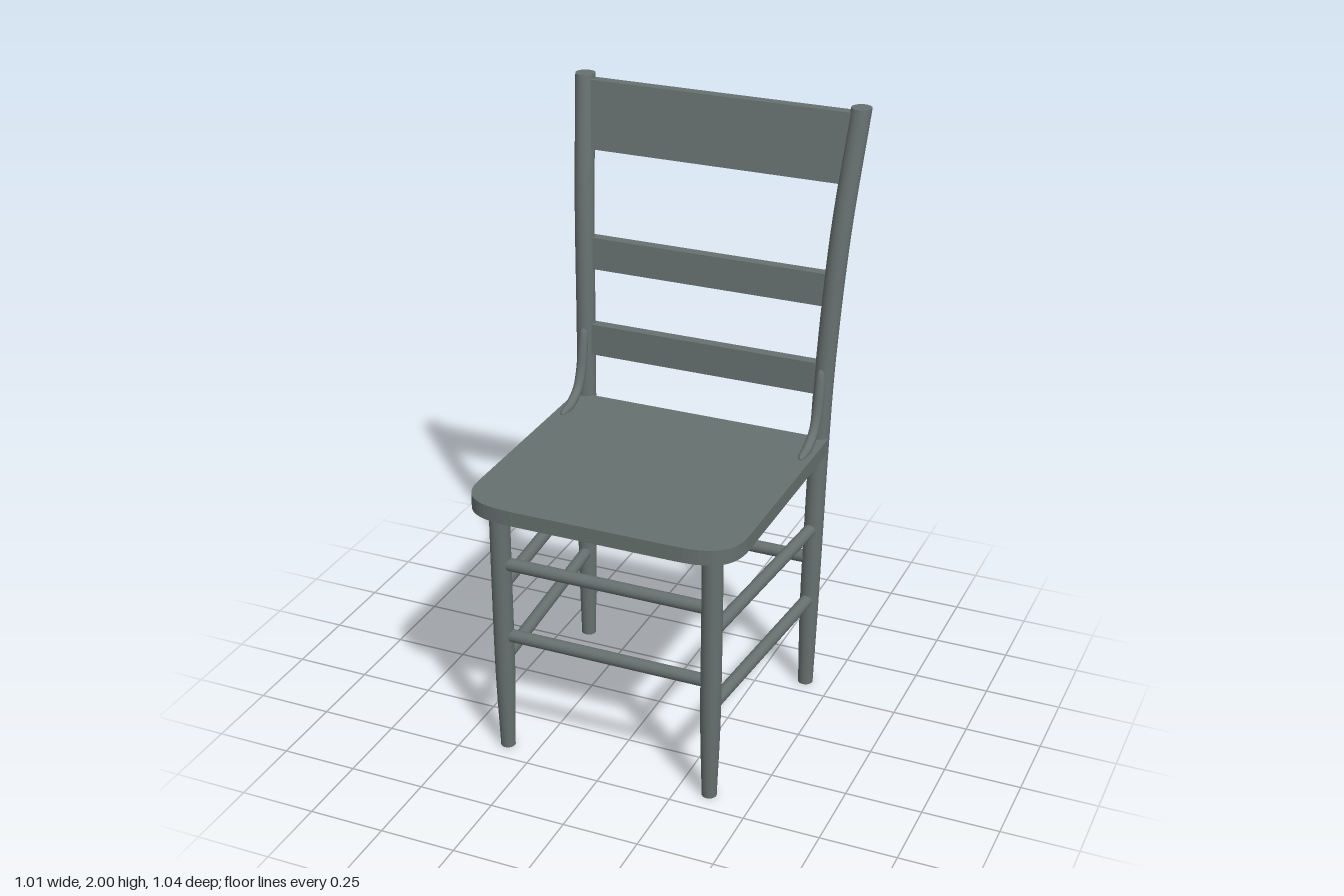
import * as THREE from 'three';

const wood = new THREE.MeshStandardMaterial({ color: 0x66706e });
wood.name = 'grey wood';

// Round bar through points [x, y, z, radius]; level rings stay horizontal, others follow the path.
function sweep(points, level, steps = 24, sides = 20) {
  const path = new THREE.CatmullRomCurve3(points.map(p => new THREE.Vector3(p[0], p[1], p[2])), false, 'catmullrom');
  const radii = new THREE.CatmullRomCurve3(points.map(p => new THREE.Vector3(p[3], 0, 0)), false, 'catmullrom');
  const pos = [], index = [], u = new THREE.Vector3(1, 0, 0);
  const ring = t => {
    const c = path.getPoint(t), r = radii.getPoint(t).x;
    const dir = level ? new THREE.Vector3(0, 1, 0) : path.getTangent(t);
    const v = new THREE.Vector3().crossVectors(dir, u).normalize();
    for (let j = 0; j < sides; j++) {
      const a = (j / sides) * Math.PI * 2;
      const p = c.clone().addScaledVector(u, r * Math.cos(a)).addScaledVector(v, r * Math.sin(a));
      pos.push(p.x, p.y, p.z);
    }
  };
  for (let i = 0; i <= steps; i++) ring(i / steps);
  for (let i = 0; i < steps; i++) {
    for (let j = 0; j < sides; j++) {
      const k = (j + 1) % sides;
      const a = i * sides + j, b = i * sides + k, c = a + sides, d = b + sides;
      index.push(a, b, c, b, d, c);
    }
  }
  // flat end caps with their own vertices
  const bottom = pos.length / 3;
  ring(0);
  const top = pos.length / 3;
  ring(1);
  for (let j = 1; j < sides - 1; j++) {
    index.push(bottom, bottom + j + 1, bottom + j, top, top + j, top + j + 1);
  }
  const g = new THREE.BufferGeometry();
  g.setAttribute('position', new THREE.Float32BufferAttribute(pos, 3));
  g.setIndex(index);
  g.computeVertexNormals();
  return g;
}

// Straight round rung between two points
function rung(a, b, r = 0.021) {
  const from = new THREE.Vector3(...a), to = new THREE.Vector3(...b);
  const dir = to.clone().sub(from);
  const g = new THREE.CylinderGeometry(r, r, dir.length(), 18);
  g.applyQuaternion(new THREE.Quaternion().setFromUnitVectors(new THREE.Vector3(0, 1, 0), dir.normalize()));
  const mid = from.add(to).multiplyScalar(0.5);
  return g.translate(mid.x, mid.y, mid.z);
}

// Back slat leaning with the posts: front face z at bottom and top
function slat(halfWidth, y0, y1, z0, z1, thick = 0.036) {
  const g = new THREE.BoxGeometry(halfWidth * 2, y1 - y0, thick);
  const p = g.attributes.position;
  for (let i = 0; i < p.count; i++) {
    const lean = p.getY(i) > 0 ? z1 : z0;
    p.setZ(i, p.getZ(i) + lean - thick / 2);
  }
  g.translate(0, (y0 + y1) / 2, 0);
  g.computeVertexNormals();
  return g;
}

// Seat board with softly rounded front corners
function seatBoard() {
  const w = 0.453, front = 0.52, back = -0.338;
  const s = new THREE.Shape();
  s.moveTo(-w, -back);
  s.lineTo(-w, -0.37);
  s.bezierCurveTo(-w, -0.47, -0.41, -front, -0.27, -front);
  s.lineTo(0.27, -front);
  s.bezierCurveTo(0.41, -front, w, -0.47, w, -0.37);
  s.lineTo(w, -back);
  s.closePath();
  const g = new THREE.ExtrudeGeometry(s, { depth: 0.05, bevelEnabled: false, curveSegments: 14 });
  return g.rotateX(-Math.PI / 2).translate(0, 0.876, 0);
}

export function createModel() {
  const chair = new THREE.Group();
  chair.name = 'chair';
  const add = (name, geometry) => {
    const m = new THREE.Mesh(geometry, wood);
    m.name = name;
    chair.add(m);
  };

  add('seat', seatBoard());

  for (const [side, s] of [['left', 1], ['right', -1]]) {
    // curved rear post, from foot to top of the back
    add(side + 'BackPost', sweep([
      [0.41 * s, 0, -0.318, 0.025], [0.412 * s, 0.3, -0.322, 0.031],
      [0.415 * s, 0.6, -0.333, 0.032], [0.418 * s, 0.9, -0.349, 0.032],
      [0.425 * s, 1.2, -0.367, 0.032], [0.443 * s, 1.6, -0.409, 0.033],
      [0.47 * s, 2, -0.487, 0.033],
    ], true, 36));

    // tapered front leg
    add(side + 'FrontLeg', sweep([
      [0.355 * s, 0, 0.424, 0.024], [0.356 * s, 0.28, 0.424, 0.032],
      [0.357 * s, 0.58, 0.424, 0.033], [0.357 * s, 0.88, 0.424, 0.033],
    ], true));

    // bent brace from seat to post
    add(side + 'Brace', sweep([
      [0.42 * s, 0.928, -0.155, 0.004], [0.42 * s, 0.929, -0.18, 0.013],
      [0.42 * s, 0.935, -0.225, 0.016], [0.42 * s, 0.97, -0.283, 0.016],
      [0.42 * s, 1.03, -0.313, 0.017], [0.42 * s, 1.1, -0.328, 0.017],
      [0.42 * s, 1.15, -0.337, 0.014], [0.42 * s, 1.172, -0.342, 0.005],
    ], false, 32, 16));

    // side rungs
    for (const y of [0.595, 0.33]) {
      add(side + 'SideRung', rung([0.357 * s, y, 0.42], [0.412 * s, y, -0.325]));
    }
  }

  // front and back rungs
  for (const y of [0.68, 0.42]) add('frontRung', rung([-0.355, y, 0.424], [0.355, y, 0.424]));
  add('backRung', rung([-0.412, 0.48, -0.328], [0.412, 0.48, -0.328]));

  // back slats
  add('lowerSlat', slat(0.412, 1.075, 1.18, -0.342, -0.349));
  add('middleSlat', slat(0.428, 1.37, 1.475, -0.372, -0.385));
  add('topRail', slat(0.455, 1.765, 1.985, -0.425, -0.465));

  return chair;
}
